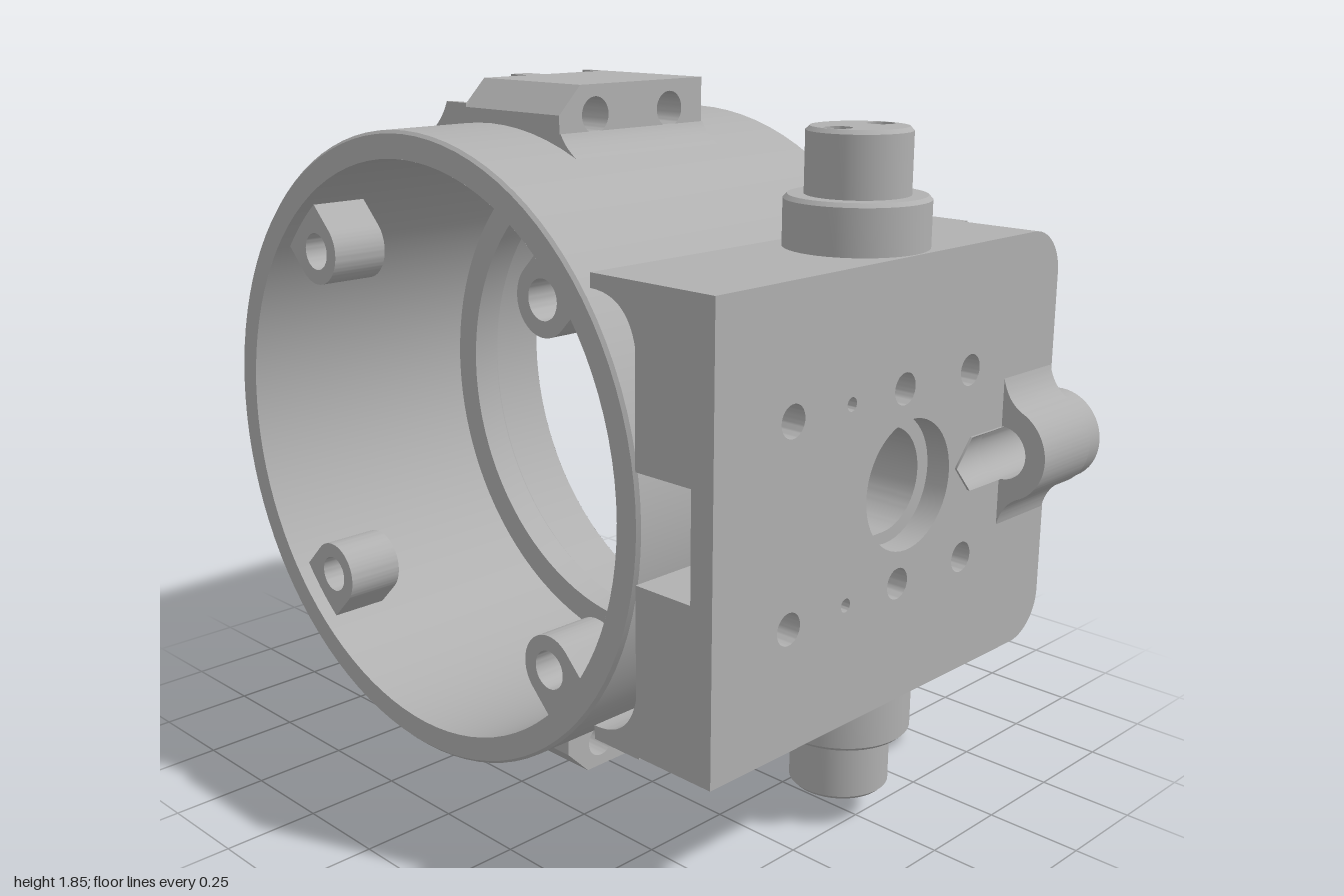
import * as THREE from 'three';
import { toCreasedNormals } from 'three/addons/utils/BufferGeometryUtils.js';

const CY = 0.925, CZ = -0.18; // ring axis
const steel = new THREE.MeshStandardMaterial({ color: 0xb0b0b0, side: THREE.DoubleSide });
steel.name = 'plain grey';

function add(parent, name, geometry) {
  const mesh = new THREE.Mesh(toCreasedNormals(geometry, 0.5), steel);
  mesh.name = name;
  parent.add(mesh);
  return mesh;
}
const V = (pts) => pts.map(([a, b]) => new THREE.Vector2(a, b));
const circle = (x, y, r) => new THREE.Path().absarc(x, y, r, 0, Math.PI * 2, false);

function extrudeZ(shape, z0, z1) {
  return new THREE.ExtrudeGeometry(shape, { depth: z1 - z0, bevelEnabled: false, curveSegments: 24 }).translate(0, 0, z0);
}
// Shape is drawn with (-z, y) and swept along x
function extrudeX(shape, x0, x1) {
  return extrudeZ(shape, x0, x1).rotateY(Math.PI / 2);
}
// Lathe about the x axis, profile given as [radius, x]
function latheX(pts, start = 0, length = Math.PI * 2) {
  return new THREE.LatheGeometry(V(pts), 96, start, length).rotateZ(-Math.PI / 2).translate(0, CY, CZ);
}

// Inner wall panel with round screw holes, wrapped on the bore
function perforatedWall() {
  const pos = [], xs = [-0.68, -0.22, 0.11, 0.38], ts = [-0.5, 0, 0.5], R = 0.75, n = 10;
  const P = (x, t, r) => [x, CY + r * Math.sin(t), CZ + r * Math.cos(t)];
  const quad = (a, b, c, d) => pos.push(...a, ...b, ...c, ...a, ...c, ...d);
  [-0.42, -0.02, 0.25].forEach((hx, i) => [-0.333, 0.333].forEach((ht, j) => {
    const c = [[xs[i], ts[j]], [xs[i + 1], ts[j]], [xs[i + 1], ts[j + 1]], [xs[i], ts[j + 1]]];
    const rim = [];
    for (let k = 0; k < 4; k++) for (let m = 0; m < n; m++) {
      const a = c[k], b = c[(k + 1) % 4], f = m / n;
      const x = a[0] + (b[0] - a[0]) * f, t = a[1] + (b[1] - a[1]) * f;
      const ang = Math.atan2((t - ht) * R, x - hx);
      rim.push([x, t, hx + 0.062 * Math.cos(ang), ht + 0.062 * Math.sin(ang) / R]);
    }
    rim.forEach((p, k) => {
      const q = rim[(k + 1) % rim.length];
      quad(P(p[2], p[3], R), P(q[2], q[3], R), P(q[0], q[1], R), P(p[0], p[1], R));
      quad(P(p[2], p[3], R), P(p[2], p[3], 0.82), P(q[2], q[3], 0.82), P(q[2], q[3], R));
    });
  }));
  const g = new THREE.BufferGeometry();
  g.setAttribute('position', new THREE.Float32BufferAttribute(pos, 3));
  g.computeVertexNormals();
  return g;
}

function buildRing() {
  const g = new THREE.Group();
  g.name = 'clampRing';
  add(g, 'ringOuterWall', latheX([[0.75, -0.68], [0.812, -0.68], [0.82, -0.672], [0.82, 0.372], [0.812, 0.38], [0.75, 0.38]]));
  add(g, 'ringBore', latheX([[0.75, 0.38], [0.75, -0.68]], 0.5, Math.PI * 2 - 1));
  add(g, 'drilledWall', perforatedWall());
  add(g, 'innerLip', latheX([[0.75, 0.16], [0.685, 0.16], [0.67, 0.145], [0.67, 0.06], [0.75, 0.06]]));
  // Four screw bosses inside the bore
  for (let k = 0; k < 4; k++) {
    const s = new THREE.Shape();
    s.moveTo(-0.09, 0.76);
    s.lineTo(-0.09, 0.655);
    s.absarc(0, 0.655, 0.09, Math.PI, Math.PI * 2, false);
    s.lineTo(0.09, 0.76);
    s.holes.push(circle(0, 0.655, 0.05));
    const m = add(g, 'screwBoss', extrudeX(s, -0.64, -0.48));
    m.position.set(0, CY, CZ);
    m.rotation.x = Math.PI / 4 + k * Math.PI / 2;
  }
  return g;
}

// Clamping lug; side 1 is the top, -1 the bottom
function buildLug(side) {
  const g = new THREE.Group();
  g.name = side > 0 ? 'topLug' : 'bottomLug';
  const Y = (y) => CY + side * (y - CY);
  const body = new THREE.Shape(V([[-0.40, Y(1.695)], [-0.40, Y(1.78)], [-0.33, Y(1.85)], [0.10, Y(1.85)], [0.10, Y(1.695)]]));
  for (const x of [-0.28, -0.02]) body.holes.push(circle(x, Y(1.775), 0.045));
  add(g, 'lugBody', extrudeZ(body, -0.29, 0.08));
  // Concave foot on the front
  const foot = new THREE.Shape();
  foot.moveTo(-0.07, Y(1.69));
  foot.lineTo(-0.07, Y(1.735));
  foot.lineTo(-0.085, Y(1.735));
  foot.quadraticCurveTo(-0.11, Y(1.685), -0.21, Y(1.645));
  foot.lineTo(-0.18, Y(1.64));
  add(g, 'lugFoot', extrudeX(foot, -0.40, 0.10));
  // Webs standing between the screw scoops on the back
  for (const [x0, x1, top] of [[-0.40, -0.38, 1.79], [-0.18, -0.12, 1.85], [0.08, 0.10, 1.85]]) {
    const web = new THREE.Shape();
    web.moveTo(0.28, Y(1.70));
    web.lineTo(0.28, Y(top));
    web.lineTo(0.36, Y(top));
    web.lineTo(0.365, Y(1.78));
    web.quadraticCurveTo(0.40, Y(1.71), 0.51, Y(1.665));
    web.lineTo(0.45, Y(1.66));
    add(g, 'lugWeb', extrudeX(web, x0, x1));
  }
  return g;
}

function buildMount() {
  const g = new THREE.Group();
  g.name = 'mountBlock';
  const r = 0.12, y0 = 0.37, y1 = 1.485, x0 = -0.68, x1 = 0.62;
  const outline = (rightNotch, leftNotch) => {
    const s = new THREE.Shape();
    s.moveTo(x0, y0);
    s.lineTo(x1 - r, y0);
    s.absarc(x1 - r, y0 + r, r, -Math.PI / 2, 0, false);
    for (const p of rightNotch) s.lineTo(...p);
    s.lineTo(x1, y1 - r);
    s.absarc(x1 - r, y1 - r, r, 0, Math.PI / 2, false);
    s.lineTo(x0, y1);
    if (leftNotch) {
      s.lineTo(x0, CY + 0.133);
      s.absarc(0, CY, 0.133, Math.PI / 2, -Math.PI / 2, true);
      s.lineTo(x0, CY - 0.133);
    }
    return s;
  };
  // Front layer with screw holes, viewing hole and pointed groove
  const front = outline([[x1, CY - 0.07], [0.26, CY - 0.07], [0.2, CY], [0.26, CY + 0.07], [x1, CY + 0.07]], false);
  front.holes.push(circle(0.01, CY, 0.165));
  for (const y of [0.68, 1.17]) {
    for (const x of [-0.425, -0.02, 0.245]) front.holes.push(circle(x, y, 0.04));
    front.holes.push(circle(-0.22, y, 0.017));
  }
  add(g, 'frontPlate', extrudeZ(front, 0.80, 0.865));
  add(g, 'backPlate', extrudeZ(outline([], true), 0.63, 0.80));
  // Rounded lining of the groove
  const half = (rTop, rBottom, h, x) => new THREE.CylinderGeometry(rTop, rBottom, h, 20, 1, true, Math.PI / 2, Math.PI)
    .rotateZ(-Math.PI / 2).translate(x, CY, 0.872);
  add(g, 'grooveLining', half(0.07, 0.07, 0.14, 0.33));
  add(g, 'grooveTip', half(0.07, 0.001, 0.06, 0.23));
  // Flanges reaching back to the ring
  for (const side of [1, -1]) {
    const Y = (y) => CY + side * (y - CY);
    const f = new THREE.Shape();
    f.moveTo(-0.64, Y(y1));
    f.lineTo(-0.49, Y(y1));
    f.lineTo(-0.49, Y(1.45));
    f.quadraticCurveTo(-0.62, Y(1.45), -0.635, Y(1.31));
    f.lineTo(-0.64, Y(1.31));
    add(g, 'flange', extrudeX(f, x0, 0.53));
  }
  // Side boss with a drilled collar
  const b = new THREE.Shape();
  b.moveTo(-0.78, CY - 0.21);
  b.lineTo(-0.862, CY - 0.21);
  b.quadraticCurveTo(-0.875, CY - 0.135, -0.93, CY - 0.112);
  b.absarc(-0.87, CY, 0.127, -Math.PI / 2 - 0.5, -Math.PI * 1.5 + 0.5, true);
  b.quadraticCurveTo(-0.875, CY + 0.135, -0.862, CY + 0.21);
  b.lineTo(-0.78, CY + 0.21);
  b.holes.push(circle(-0.87, CY, 0.07));
  add(g, 'sideBoss', extrudeX(b, 0.40, 0.615));
  const collar = new THREE.Shape().absarc(-0.87, CY, 0.123, 0, Math.PI * 2, false);
  collar.holes.push(circle(-0.87, CY, 0.07));
  add(g, 'sideCollar', extrudeX(collar, 0.41, 0.67));
  return g;
}

// Pivot pin with two spanner holes in its end
function buildPivot(side) {
  const g = new THREE.Group();
  g.name = side > 0 ? 'topPivot' : 'bottomPivot';
  add(g, 'pivotCollar', new THREE.LatheGeometry(V([[0.178, 0.55], [0.178, 0.675], [0.168, 0.685], [0, 0.685]]), 48));
  add(g, 'pivotPin', new THREE.LatheGeometry(V([[0.128, 0.68], [0.128, 0.835], [0.118, 0.845]]), 48));
  add(g, 'pinFloor', new THREE.CylinderGeometry(0.12, 0.12, 0.08, 48).translate(0, 0.725, 0));
  const cap = new THREE.Shape().absarc(0, 0, 0.118, 0, Math.PI * 2, false);
  for (const x of [-0.08, 0.08]) cap.holes.push(circle(x, 0, 0.034));
  add(g, 'pinCap', extrudeZ(cap, 0.765, 0.845).rotateX(-Math.PI / 2));
  g.position.set(0.01, CY, 0.68);
  if (side < 0) g.rotation.x = Math.PI;
  return g;
}

export function createModel() {
  const model = new THREE.Group();
  model.name = 'pivotingRingClamp';
  model.add(buildRing(), buildMount());
  for (const side of [1, -1]) model.add(buildLug(side), buildPivot(side));
  return model;
}
